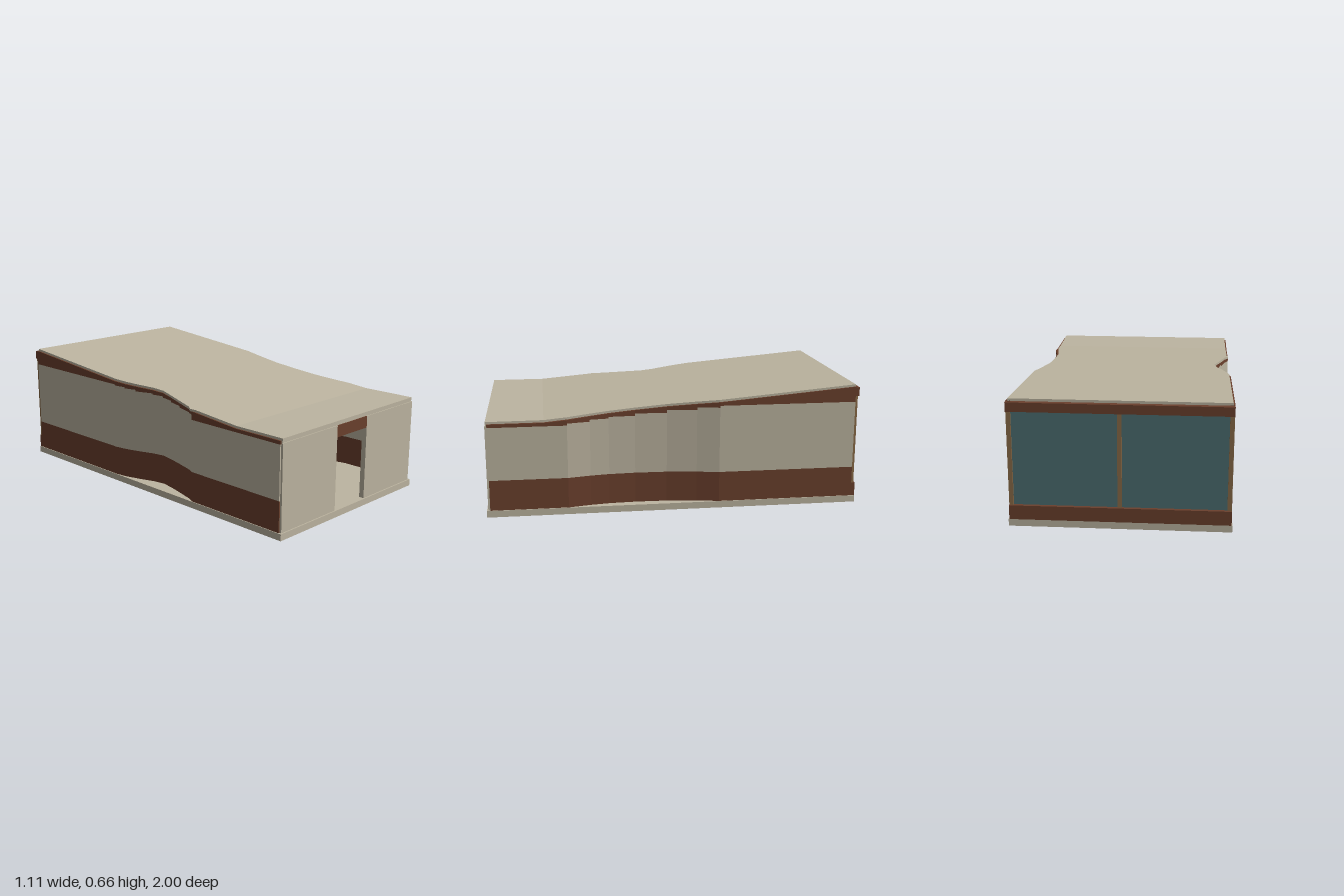
import * as THREE from 'three';

const mat = (name, color) => Object.assign(new THREE.MeshStandardMaterial({ color }), { name });

// Solid through rectangular cross-sections, listed from front (+z) to back.
// Each section: [z, xLow, xHigh, yLowAtXLow, yTop]
function loft(sections) {
  const pos = [];
  const corners = sections.map(([z, x0, x1, y0, y1]) =>
    [[x0, y0, z], [x1, y0, z], [x1, y1, z], [x0, y1, z]]);
  const quad = (a, b, c, d) => pos.push(...a, ...b, ...c, ...a, ...c, ...d);
  const first = corners[0], last = corners[corners.length - 1];
  quad(first[0], first[1], first[2], first[3]);
  quad(last[1], last[0], last[3], last[2]);
  for (let s = 0; s < corners.length - 1; s++) {
    const f = corners[s], b = corners[s + 1];
    for (let i = 0; i < 4; i++) {
      const j = (i + 1) % 4;
      quad(f[i], b[i], b[j], f[j]);
    }
  }
  const g = new THREE.BufferGeometry();
  g.setAttribute('position', new THREE.Float32BufferAttribute(pos, 3));
  g.computeVertexNormals();
  return g;
}

// Linear lookup of x along a [z, x] outline ordered from front to back
function xAt(outline, z) {
  for (let i = 0; i < outline.length - 1; i++) {
    const [z0, x0] = outline[i], [z1, x1] = outline[i + 1];
    if (z <= z0 && z >= z1) return x0 + (x1 - x0) * (z0 - z) / (z0 - z1);
  }
  return z > outline[0][0] ? outline[0][1] : outline[outline.length - 1][1];
}

// Flat over the entrance, then rising to the back
const roofTop = z => z > 0.69 ? 0.515 : 0.515 + (0.69 - z) * 0.0868;

export function createModel() {
  const model = new THREE.Group();
  model.name = 'pavilion';
  const plaster = mat('plaster beige', 0xbdb5a1);
  const brown = mat('cladding brown', 0x6b402d);
  const glass = mat('glass teal', 0x4d6f72);
  const wood = mat('frame wood', 0x8b6c48);

  const add = (name, geometry, material, parent = model) => {
    const m = new THREE.Mesh(geometry, material);
    m.name = name;
    parent.add(m);
    return m;
  };
  // Box given by its limits
  const box = (name, material, x0, x1, y0, y1, z0, z1) => {
    const m = add(name, new THREE.BoxGeometry(x1 - x0, y1 - y0, z1 - z0), material);
    m.position.set((x0 + x1) / 2, (y0 + y1) / 2, (z0 + z1) / 2);
    return m;
  };

  // Ground slab
  box('floorSlab', plaster, -0.556, 0.556, 0, 0.036, -1, 1);

  // Side walls: outlines with a shallow bay on the left and a deep one on the right
  const leftWall = [[0.982, 0.552], [0.69, 0.552], [0.57, 0.552], [0.45, 0.526], [0.35, 0.512],
    [0.21, 0.505], [0.04, 0.509], [-0.12, 0.53], [-0.24, 0.552], [-0.98, 0.552]];
  const rightWall = [[0.982, -0.552], [0.69, -0.552], [0.38, -0.552], [0.34, -0.534], [0.24, -0.508],
    [0.15, -0.486], [0.07, -0.472], [0, -0.485], [-0.1, -0.52], [-0.17, -0.54], [-0.24, -0.552], [-0.98, -0.552]];

  const thickness = 0.025;
  function sideWall(name, outline) {
    const wall = new THREE.Group();
    wall.name = name;
    model.add(wall);
    for (let i = 0; i < outline.length - 1; i++) {
      const [z0, x0] = outline[i], [z1, x1] = outline[i + 1];
      const step = roofTop(z0) - 0.03;
      const panel = (part, material, yLow, top) => {
        const section = (z, x) => x > 0
          ? [z, x - thickness, x, yLow, top(z)]
          : [z, x, x - -thickness, yLow, top(z)];
        add(part, loft([section(z0, x0), section(z1, x1)]), material, wall);
      };
      panel('lowerCladding', brown, 0.036, () => 0.2);
      panel('wallPanel', plaster, 0.2, () => step);
      panel('upperFascia', brown, step, z => roofTop(z) - 0.012);
    }
  }
  sideWall('leftWall', leftWall);
  sideWall('rightWall', rightWall);

  // Roof sheet, set in slightly from the fascia
  const leftRoof = [[0.99, 0.543], [0.69, 0.538], [0.57, 0.535], [0.45, 0.514], [0.35, 0.5], [0.21, 0.495],
    [0.04, 0.498], [-0.12, 0.521], [-0.24, 0.543], [-0.98, 0.543]];
  const rightRoof = [[0.99, -0.543], [0.4, -0.545], [0.37, -0.553], [0.34, -0.535], [0.24, -0.509], [0.15, -0.486],
    [0.07, -0.466], [0, -0.475], [-0.1, -0.51], [-0.17, -0.53], [-0.24, -0.543], [-0.98, -0.543]];
  const stations = [...new Set([...leftRoof, ...rightRoof].map(p => p[0]))].sort((a, b) => b - a);
  add('roof', loft(stations.map(z =>
    [z, xAt(rightRoof, z), xAt(leftRoof, z), roofTop(z) - 0.013, roofTop(z)])), plaster);

  // Front wall with the doorway
  for (const [name, x0, x1] of [['frontWallRight', -0.545, -0.125], ['frontWallLeft', 0.125, 0.545]])
    box(name, plaster, x0, x1, 0.036, 0.492, 0.965, 0.993);
  box('frontRoofEdge', plaster, -0.543, 0.543, 0.492, 0.505, 0.965, 0.988);
  box('doorLintel', brown, -0.125, 0.125, 0.43, 0.492, 0.965, 0.993);

  // Inner partitions seen through the doorway
  box('entryPartition', plaster, -0.125, -0.103, 0.036, 0.43, 0.45, 0.965);
  box('innerWall', plaster, -0.103, 0.055, 0.036, 0.395, 0.42, 0.45);
  box('innerWallCap', brown, -0.103, 0.055, 0.395, 0.408, 0.42, 0.45);

  // Glazed back
  box('backSill', brown, -0.552, 0.552, 0.036, 0.11, -1, -0.965);
  box('backHeader', brown, -0.552, 0.552, 0.598, 0.645, -1, -0.965);
  box('backWindow', glass, -0.54, 0.54, 0.11, 0.598, -0.982, -0.976);
  for (const x of [-0.54, 0, 0.54])
    box('windowPost', wood, x - 0.011, x + 0.011, 0.11, 0.598, -0.992, -0.966);

  return model;
}
